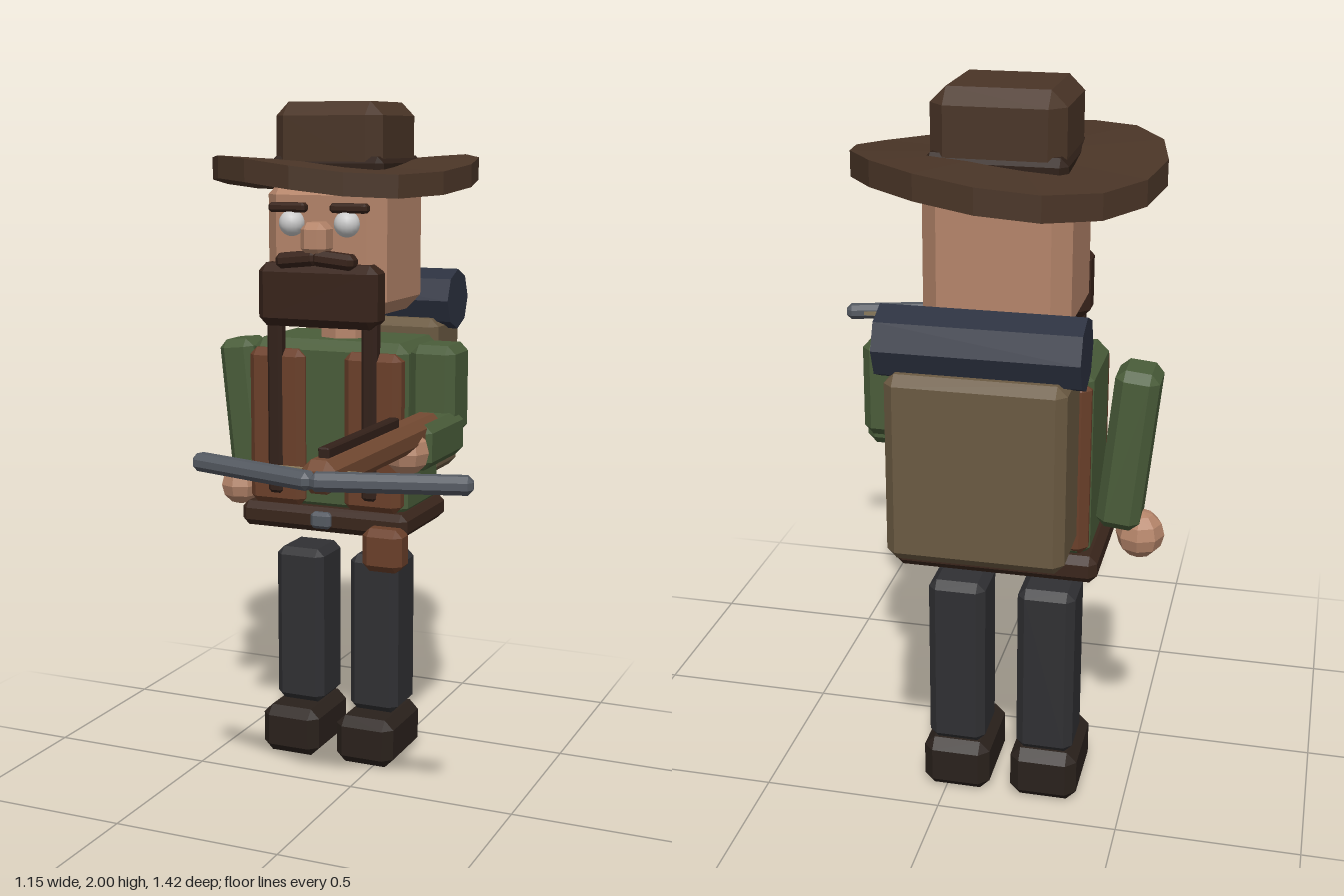
import * as THREE from 'three';
import { ConvexGeometry } from 'three/addons/geometries/ConvexGeometry.js';

const COLORS = {
  hat: 0x4a3527, band: 0x2e1f17, skin: 0xb5856a, eye: 0xc8c8c8, beard: 0x38231a,
  green: 0x4a5d3a, vest: 0x6b402a, belt: 0x3a261c, strap: 0x33211a, metal: 0x555a62,
  trousers: 0x303033, boot: 0x2a211c, pack: 0x6b5a42, roll: 0x2c3140,
  wood: 0x744a32, cord: 0x8a7a5c,
};
const CX = -0.15, CZ = -0.32; // body axis

export function createModel() {
  const model = new THREE.Group();
  const mats = {};
  for (const key in COLORS) {
    mats[key] = new THREE.MeshStandardMaterial({ color: COLORS[key], flatShading: key !== 'eye' });
  }

  function add(name, geometry, color, x, y, z, parent = model) {
    const mesh = new THREE.Mesh(geometry, mats[color]);
    mesh.name = name;
    mesh.position.set(x, y, z);
    parent.add(mesh);
    return mesh;
  }

  // Box with every edge cut by one flat bevel
  function bevelBox(w, h, d, b) {
    const pts = [];
    for (const i of [-1, 1]) for (const j of [-1, 1]) for (const k of [-1, 1]) {
      const x = w / 2, y = h / 2, z = d / 2;
      pts.push(new THREE.Vector3(i * x, j * (y - b), k * (z - b)));
      pts.push(new THREE.Vector3(i * (x - b), j * y, k * (z - b)));
      pts.push(new THREE.Vector3(i * (x - b), j * (y - b), k * z));
    }
    return new ConvexGeometry(pts);
  }

  // Bevelled box given by its extents on each axis
  function block(name, color, [x0, x1], [y0, y1], [z0, z1], b = 0.02) {
    return add(name, bevelBox(x1 - x0, y1 - y0, z1 - z0, b), color,
      (x0 + x1) / 2, (y0 + y1) / 2, (z0 + z1) / 2);
  }

  // Hat: brim with a wavy edge, band and crown
  const brim = new THREE.CylinderGeometry(0.395, 0.395, 0.065, 16);
  const p = brim.attributes.position;
  for (let i = 0; i < p.count; i++) {
    const x = p.getX(i) / 0.395, z = p.getZ(i) / 0.395;
    p.setY(i, p.getY(i) - 0.05 * x * z);
  }
  add('hatBrim', brim, 'hat', CX - 0.004, 1.79, CZ);
  block('hatBand', 'band', [-0.33, 0.03], [1.76, 1.845], [-0.49, -0.15], 0.02);
  block('hatCrown', 'hat', [-0.32, 0.017], [1.78, 2.0], [-0.48, -0.155], 0.04);

  // Head and face
  block('head', 'skin', [-0.34, 0.037], [1.385, 1.78], [-0.495, -0.135], 0.045);
  add('neck', new THREE.CylinderGeometry(0.078, 0.078, 0.16, 8), 'skin', CX, 1.36, -0.312);
  block('nose', 'skin', [-0.193, -0.113], [1.565, 1.66], [-0.16, -0.065], 0.02);
  for (const side of [-1, 1]) {
    const tag = side > 0 ? 'left' : 'right';
    add(tag + 'Eye', new THREE.SphereGeometry(0.038, 16, 12), 'eye', CX - 0.002 + side * 0.087, 1.655, -0.125);
    add(tag + 'Brow', bevelBox(0.115, 0.028, 0.04, 0.008), 'beard', CX - 0.002 + side * 0.097, 1.7, -0.122);
    const tache = add(tag + 'Moustache', bevelBox(0.13, 0.045, 0.06, 0.014), 'beard', CX + side * 0.058, 1.553, -0.1);
    tache.rotation.z = -side * 0.1;
  }
  block('beard', 'beard', [-0.343, 0.035], [1.355, 1.54], [-0.195, -0.09], 0.025);

  // Torso and open vest
  block('torso', 'green', [-0.4, 0.1], [0.79, 1.31], [-0.468, -0.168], 0.03);
  block('belt', 'belt', [-0.425, 0.115], [0.735, 0.81], [-0.49, -0.135], 0.02);
  block('buckle', 'metal', [-0.185, -0.12], [0.75, 0.8], [-0.15, -0.118], 0.01);
  block('pouch', 'vest', [-0.005, 0.12], [0.645, 0.775], [-0.17, -0.08], 0.022);
  for (const side of [-1, 1]) {
    const tag = side > 0 ? 'left' : 'right';
    const panel = add(tag + 'VestPanel', bevelBox(0.18, 0.475, 0.338, 0.022), 'vest', CX - 0.003 + side * 0.154, 1.045, -0.308);
    panel.castShadow = true;
    add(tag + 'PackStrap', bevelBox(0.048, 0.55, 0.045, 0.01), 'strap', CX - 0.003 + side * 0.152, 1.12, -0.152);

    // Legs and boots
    add(tag + 'Leg', bevelBox(0.158, 0.495, 0.17, 0.022), 'trousers', CX - 0.003 + side * 0.124, 0.402, -0.316);
    add(tag + 'Boot', bevelBox(0.188, 0.15, 0.265, 0.028), 'boot', CX - 0.003 + side * 0.124, 0.08, -0.283);
  }

  // Lowered right arm
  const rightArm = add('rightArm', bevelBox(0.115, 0.44, 0.145, 0.024), 'green', -0.48, 1.068, CZ);
  rightArm.rotation.z = 0.1;
  const hand = new THREE.SphereGeometry(0.065, 8, 6);
  add('rightHand', hand, 'skin', -0.515, 0.82, CZ);

  // Left arm, bent forward to hold the weapon
  block('leftUpperArm', 'green', [0.1, 0.237], [1.04, 1.308], [-0.348, -0.19], 0.024);
  block('leftForearm', 'green', [0.122, 0.25], [0.985, 1.115], [-0.275, 0.03], 0.024);
  add('leftHand', hand, 'skin', 0.19, 1.043, 0.045);

  // Backpack and bedroll
  block('backpack', 'pack', [-0.375, 0.075], [0.86, 1.35], [-0.71, -0.485], 0.025);
  const roll = add('bedroll', new THREE.CylinderGeometry(0.093, 0.093, 0.51, 8), 'roll', CX, 1.405, -0.6);
  roll.rotation.z = Math.PI / 2;

  // Crossbow
  const bow = new THREE.Group();
  bow.name = 'crossbow';
  bow.position.set(0.19, 1.085, 0);
  model.add(bow);
  add('stock', bevelBox(0.09, 0.085, 0.79, 0.024), 'wood', 0, 0.002, 0.265, bow);
  add('rail', bevelBox(0.03, 0.04, 0.47, 0.004), 'strap', 0, 0.05, 0.375, bow);
  for (const side of [-1, 1]) {
    const limb = add(side > 0 ? 'leftLimb' : 'rightLimb', bevelBox(0.395, 0.046, 0.052, 0.014), 'metal',
      side * 0.186, 0, 0.625, bow);
    limb.rotation.y = side * 0.29;
  }
  add('bowstring', new THREE.BoxGeometry(0.68, 0.012, 0.012), 'cord', 0, 0, 0.565, bow);

  return model;
}
